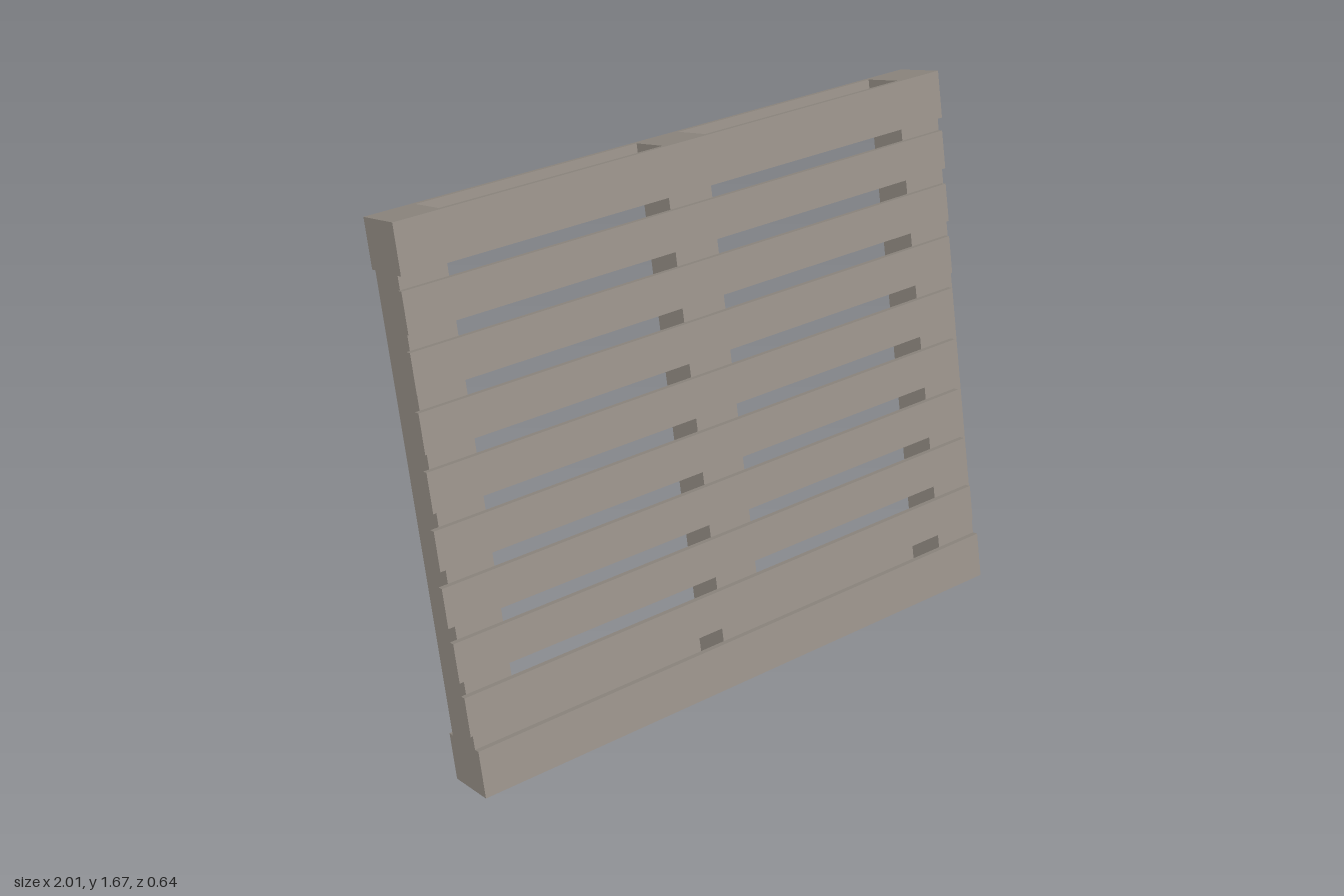
import * as THREE from 'three';

const HEIGHT = 1.687, DEPTH = 0.183, BOARD = 0.021; // pallet size and plank thickness
const SKEW = 0.0533;                                // sideways lean per unit of height

export function createModel() {
  const wood = new THREE.MeshStandardMaterial({ color: 0x968f87 });
  wood.name = 'weatheredWood';
  const pallet = new THREE.Group();
  pallet.name = 'leaningPallet';

  // Box between two corners, skewed sideways with height; depth runs backward from the front face
  function plank(name, x0, x1, y0, y1, d0, d1) {
    const geo = new THREE.BoxGeometry(x1 - x0, y1 - y0, d1 - d0);
    geo.translate((x0 + x1) / 2, (y0 + y1) / 2, -(d0 + d1) / 2);
    const p = geo.attributes.position;
    for (let i = 0; i < p.count; i++) p.setX(i, p.getX(i) + SKEW * p.getY(i));
    geo.computeVertexNormals();
    const mesh = new THREE.Mesh(geo, wood);
    mesh.name = name;
    pallet.add(mesh);
  }

  // Three upright beams
  [['rightBeam', -1], ['centreBeam', -0.12], ['leftBeam', 0.76]].forEach(([name, x]) =>
    plank(name, x, x + 0.15, 0, HEIGHT, BOARD, DEPTH - BOARD));

  // Wide boards at both ends, front and back
  [['bottom', 0], ['top', HEIGHT - 0.147]].forEach(([end, y]) => {
    plank(end + 'FrontBoard', -1, 0.91, y, y + 0.147, 0, BOARD);
    plank(end + 'BackBoard', -1, 0.91, y, y + 0.147, DEPTH - BOARD, DEPTH);
  });

  // Narrow front slats, each nailed on slightly off line
  [-0.016, -0.023, -0.03, -0.026, -0.019, -0.014, -0.01, -0.006].forEach((dx, i) => {
    const y = 0.2 + i * 0.1686;
    plank('frontSlat' + (i + 1), -1 + dx, 0.912 + dx, y, y + 0.12, 0, BOARD);
  });

  // Lean the pallet backward
  pallet.rotation.x = -THREE.MathUtils.degToRad(16.1);
  pallet.position.set(0, 0.051, 0.322);

  const model = new THREE.Group();
  model.name = 'pallet';
  model.add(pallet);
  return model;
}
